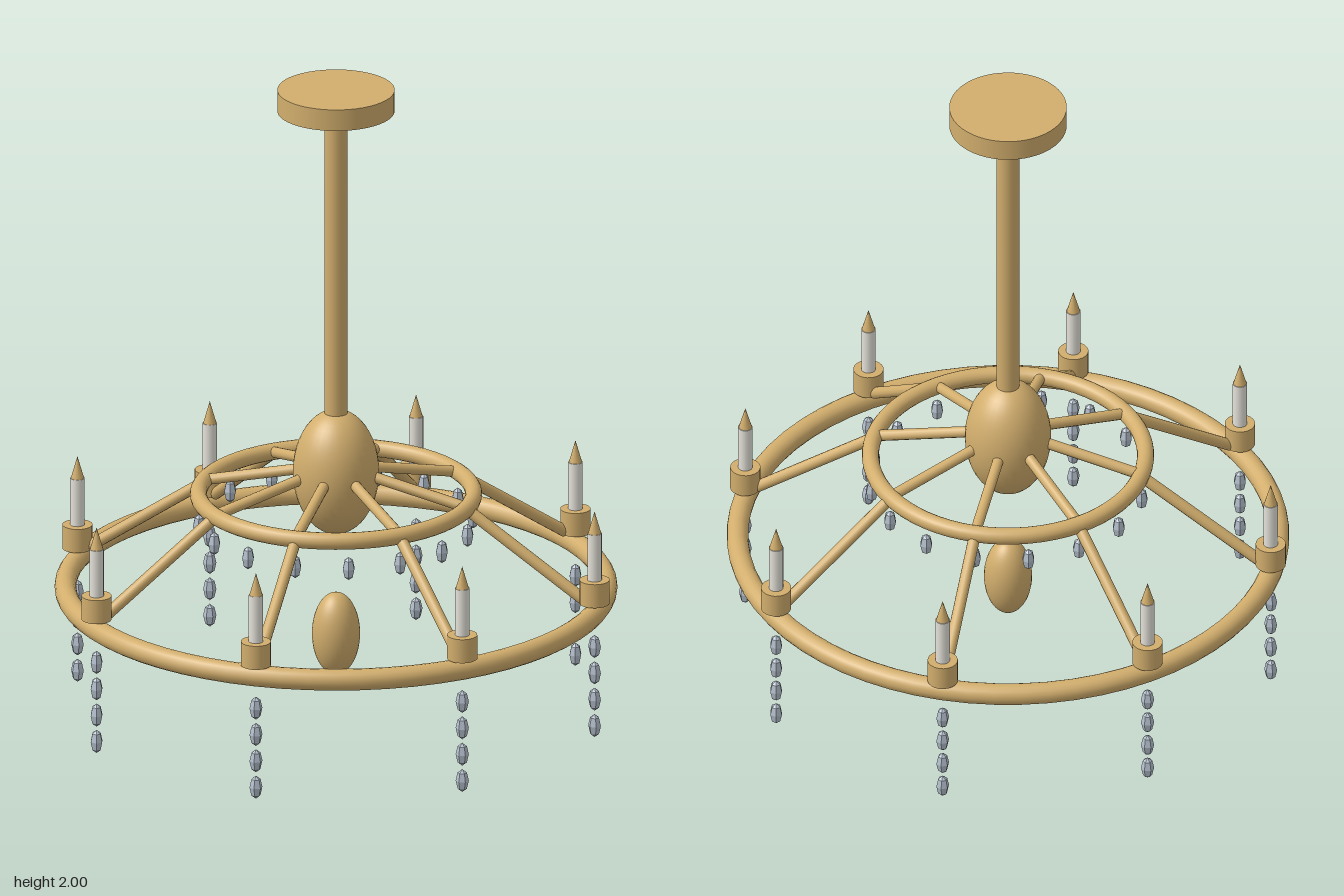
import * as THREE from 'three';

const brass = new THREE.MeshStandardMaterial({ color: 0xd2ae6d });
const wax = new THREE.MeshStandardMaterial({ color: 0xe6e3da });
const crystal = new THREE.MeshStandardMaterial({ color: 0xb4bfcc, flatShading: true });

const RIM = 0.82, RIM_Y = 0.397;
const INNER = 0.417, INNER_Y = 0.696;

function add(parent, name, geometry, material, x = 0, y = 0, z = 0) {
  const mesh = new THREE.Mesh(geometry, material);
  mesh.name = name;
  mesh.position.set(x, y, z);
  parent.add(mesh);
  return mesh;
}

// Horizontal ring of round bar
function ring(radius, bar) {
  return new THREE.TorusGeometry(radius, bar, 16, 64).rotateX(Math.PI / 2);
}

// Sphere stretched along y
function egg(radius, halfHeight) {
  return new THREE.SphereGeometry(1, 32, 24).scale(radius, halfHeight, radius);
}

// Straight round bar between two points of the (x, y) plane
function bar(parent, name, from, to, radius) {
  const a = new THREE.Vector3(from[0], from[1], 0);
  const d = new THREE.Vector3(to[0], to[1], 0).sub(a);
  const mesh = add(parent, name, new THREE.CylinderGeometry(radius, radius, d.length(), 12), brass);
  mesh.position.copy(a).addScaledVector(d, 0.5);
  mesh.quaternion.setFromUnitVectors(new THREE.Vector3(0, 1, 0), d.normalize());
}

export function createModel() {
  const model = new THREE.Group();
  model.name = 'chandelier';

  // Ceiling plate, rod, hub and lower pendant
  add(model, 'ceilingPlate', new THREE.CylinderGeometry(0.178, 0.178, 0.068, 48), brass, 0, 1.966);
  add(model, 'rod', new THREE.CylinderGeometry(0.035, 0.035, 1.05, 24), brass, 0, 1.42);
  add(model, 'hub', egg(0.131, 0.197), brass, 0, 0.768);
  add(model, 'pendant', egg(0.073, 0.131), brass, 0, 0.246);

  // Rings
  add(model, 'outerRing', ring(RIM, 0.033), brass, 0, RIM_Y);
  add(model, 'innerRing', ring(INNER, 0.026), brass, 0, INNER_Y);

  const bead = new THREE.SphereGeometry(1, 6, 4).scale(0.02, 0.037, 0.02);
  const cup = new THREE.CylinderGeometry(0.046, 0.046, 0.076, 20);
  const candle = new THREE.CylinderGeometry(0.022, 0.022, 0.15, 16);
  const flame = new THREE.ConeGeometry(0.02, 0.07, 16);

  // Eight arms, each with a candle above the rim and a crystal strand below
  for (let i = 0; i < 8; i++) {
    const branch = new THREE.Group();
    branch.name = 'branch';
    branch.rotation.y = (i * Math.PI) / 4;
    model.add(branch);

    bar(branch, 'innerArm', [0.09, 0.77], [INNER, INNER_Y], 0.017);
    bar(branch, 'outerArm', [INNER - 0.01, INNER_Y], [0.785, 0.44], 0.018);
    add(branch, 'candleCup', cup, brass, RIM, 0.47);
    add(branch, 'candle', candle, wax, RIM, 0.583);
    add(branch, 'flame', flame, brass, RIM, 0.693);
    for (let k = 0; k < 4; k++) {
      add(branch, 'crystalBead', bead, crystal, RIM, 0.037 + k * 0.085);
    }
  }

  // Sixteen single crystals below the inner ring
  for (let i = 0; i < 16; i++) {
    const a = (i * Math.PI) / 8;
    add(model, 'innerCrystal', bead, crystal, INNER * Math.cos(a), 0.607, INNER * Math.sin(a));
  }
  return model;
}
